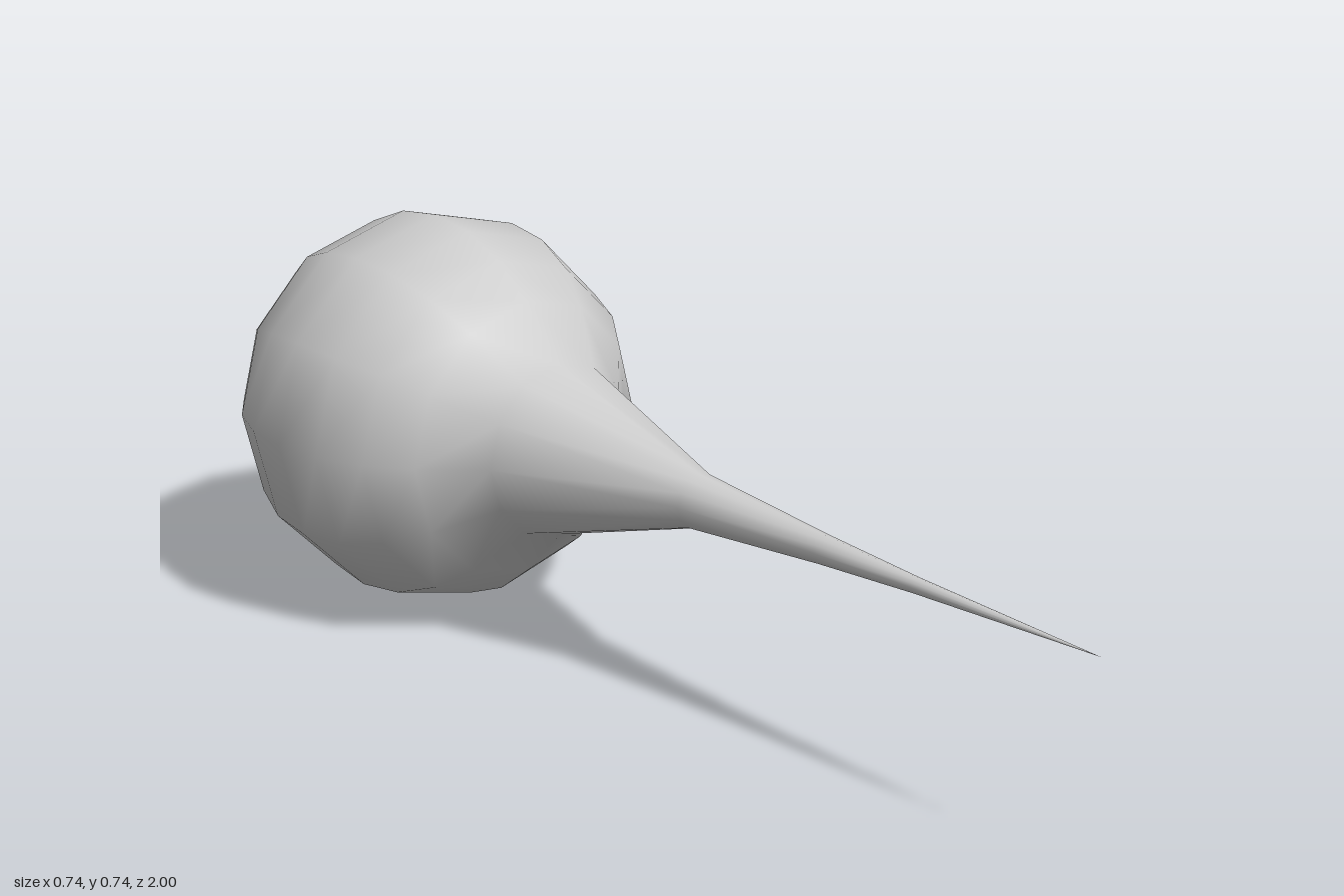
import * as THREE from 'three';

export function createModel() {
  const group = new THREE.Group();
  const grey = new THREE.MeshStandardMaterial({ color: 0xcccccc });
  grey.name = 'lightGrey';

  const R = 0.37, centreZ = -0.63, centreY = 0.372;

  // Profile from the back pole of the ball to the tip of the spike
  const profile = [];
  for (let deg = 0; deg <= 135; deg += 15) {
    const a = THREE.MathUtils.degToRad(deg);
    profile.push(new THREE.Vector2(R * Math.sin(a), centreZ - R * Math.cos(a)));
  }
  for (const [r, z] of [[0.163, -0.275], [0.05, 0.095], [0.026, 0.4], [0.014, 0.61], [0, 1]]) {
    profile.push(new THREE.Vector2(r, z));
  }

  // Twelve-sided smooth body turned about the z axis
  const geometry = new THREE.LatheGeometry(profile, 12);
  geometry.rotateX(Math.PI / 2);
  geometry.rotateZ(-0.014);

  // The spike rises very slightly towards its tip
  const p = geometry.attributes.position;
  for (let i = 0; i < p.count; i++) {
    const lift = 0.008 * THREE.MathUtils.smoothstep(p.getZ(i), -0.4, 0.2);
    p.setY(i, p.getY(i) + centreY + lift);
  }

  const body = new THREE.Mesh(geometry, grey);
  body.name = 'ballWithSpike';
  group.add(body);
  return group;
}
